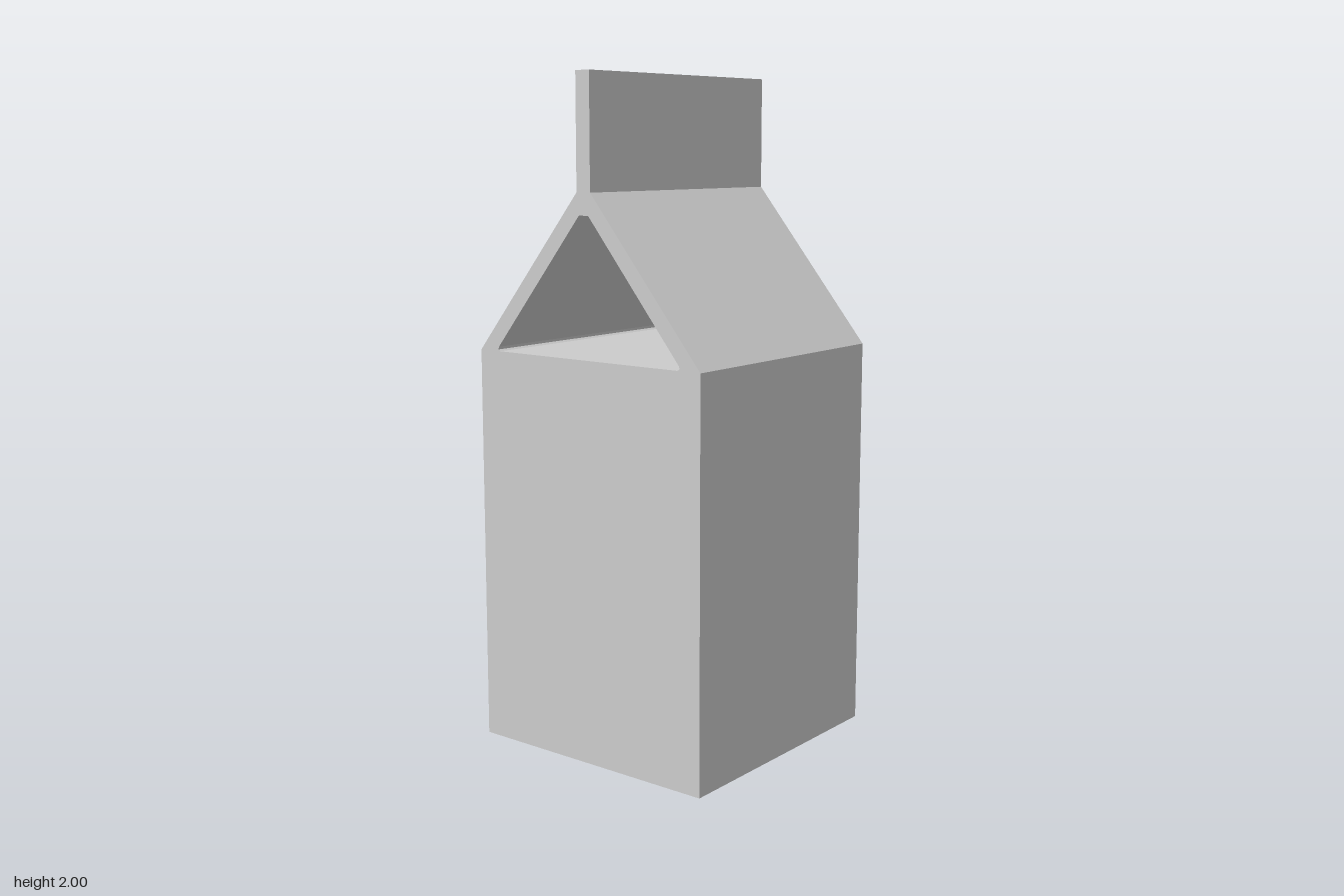
import * as THREE from 'three';

const HALF = 0.41; // half width and half depth of the body
const FIN = 0.025; // half thickness of the top seam
const EAVE = 1.197, RIDGE = 1.667, TOP = 2;

// Closes an outline from its right half (listed bottom to top) by mirroring it in x
function mirrored(PathType, half) {
  const left = half.map(([x, y]) => [-x, y]).reverse();
  return new PathType([...half, ...left].map(([x, y]) => new THREE.Vector2(x, y)));
}

export function createModel() {
  const group = new THREE.Group();
  group.name = 'carton';

  // Body, sloped roof and upright seam share one continuous section
  const section = mirrored(THREE.Shape, [[HALF, 0], [HALF, EAVE], [FIN, RIDGE], [FIN, TOP]]);

  // Open gable under the roof panels, with clipped corners
  section.holes.push(mirrored(THREE.Path, [[0.332, EAVE], [0.339, 1.202], [0.337, 1.21], [0.017, 1.603]]));

  const geometry = new THREE.ExtrudeGeometry(section, { depth: 2 * HALF, bevelEnabled: false });
  geometry.translate(0, 0, -HALF);

  const shell = new THREE.Mesh(
    geometry,
    new THREE.MeshStandardMaterial({ color: 0xcccccc, flatShading: true })
  );
  shell.name = 'bodyWithGableRoofAndSeam';
  group.add(shell);
  return group;
}
